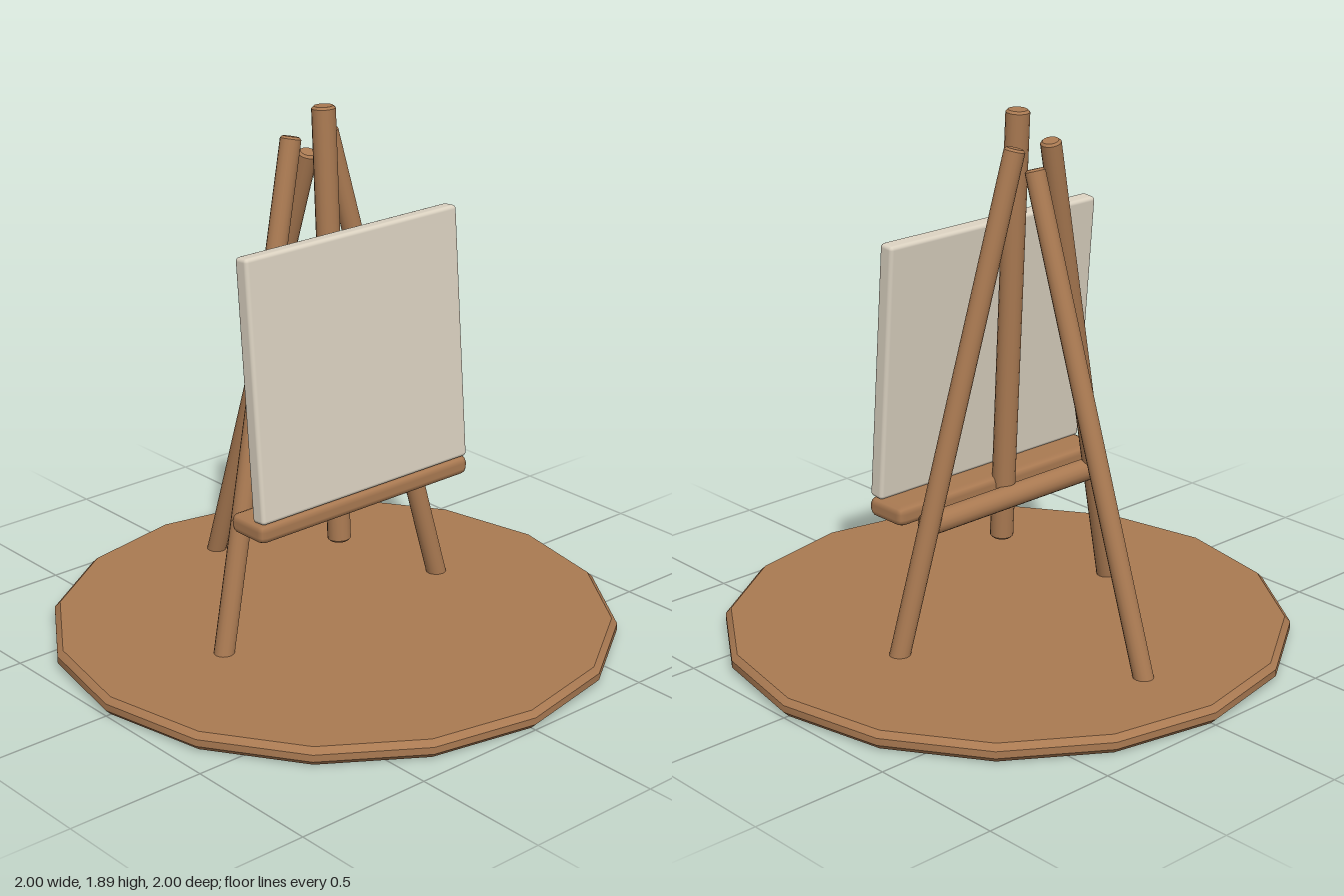
import * as THREE from 'three';
import { toCreasedNormals } from 'three/addons/utils/BufferGeometryUtils.js';
import { RoundedBoxGeometry } from 'three/addons/geometries/RoundedBoxGeometry.js';

const wood = new THREE.MeshStandardMaterial({ color: 0xaa7a52 });
wood.name = 'wood';
const canvasWhite = new THREE.MeshStandardMaterial({ color: 0xdbd2c1 });
canvasWhite.name = 'canvasWhite';

// Solid disc or rod standing on y = 0, with chamfered rims
function chamferedCylinder(radius, height, bevel, sides) {
  const profile = [
    [0, 0], [radius - bevel, 0], [radius, bevel],
    [radius, height - bevel], [radius - bevel, height], [0, height],
  ].map(([x, y]) => new THREE.Vector2(x, y));
  return toCreasedNormals(new THREE.LatheGeometry(profile, sides), 0.65);
}

export function createModel() {
  const model = new THREE.Group();
  model.name = 'easel';

  const add = (name, geometry, material) => {
    const mesh = new THREE.Mesh(geometry, material);
    mesh.name = name;
    model.add(mesh);
    return mesh;
  };

  // Round rod running from one point to another
  const rod = (name, from, to, radius) => {
    const a = new THREE.Vector3(...from);
    const axis = new THREE.Vector3(...to).sub(a);
    const mesh = add(name, chamferedCylinder(radius, axis.length(), 0.008, 16), wood);
    mesh.position.copy(a);
    mesh.quaternion.setFromUnitVectors(new THREE.Vector3(0, 1, 0), axis.normalize());
  };

  // Sixteen-sided floor disc
  add('base', chamferedCylinder(1, 0.065, 0.02, 16), wood);

  // Upright, splayed front legs, rear leg and cross bar
  rod('mast', [0, 0.35, 0.028], [0, 1.89, -0.053], 0.041);
  for (const [name, side] of [['leftLeg', 1], ['rightLeg', -1]]) {
    rod(name, [side * 0.504, 0.04, 0.001], [side * 0.08, 1.785, -0.125], 0.036);
  }
  rod('rearLeg', [0.016, 0.04, -0.693], [0.016, 1.71, -0.15], 0.035);
  rod('crossBar', [-0.4, 0.515, -0.02], [0.4, 0.515, -0.02], 0.04);

  // Ledge carrying the canvas
  const tray = add('tray', new RoundedBoxGeometry(0.95, 0.07, 0.17, 1, 0.025), wood);
  tray.position.set(0, 0.55, 0.097);

  // Canvas leaning back on the ledge
  const canvas = add('canvas', new RoundedBoxGeometry(0.935, 0.91, 0.06, 2, 0.014), canvasWhite);
  canvas.position.set(0, 1.038, 0.114);
  canvas.rotation.x = -0.083;

  return model;
}
